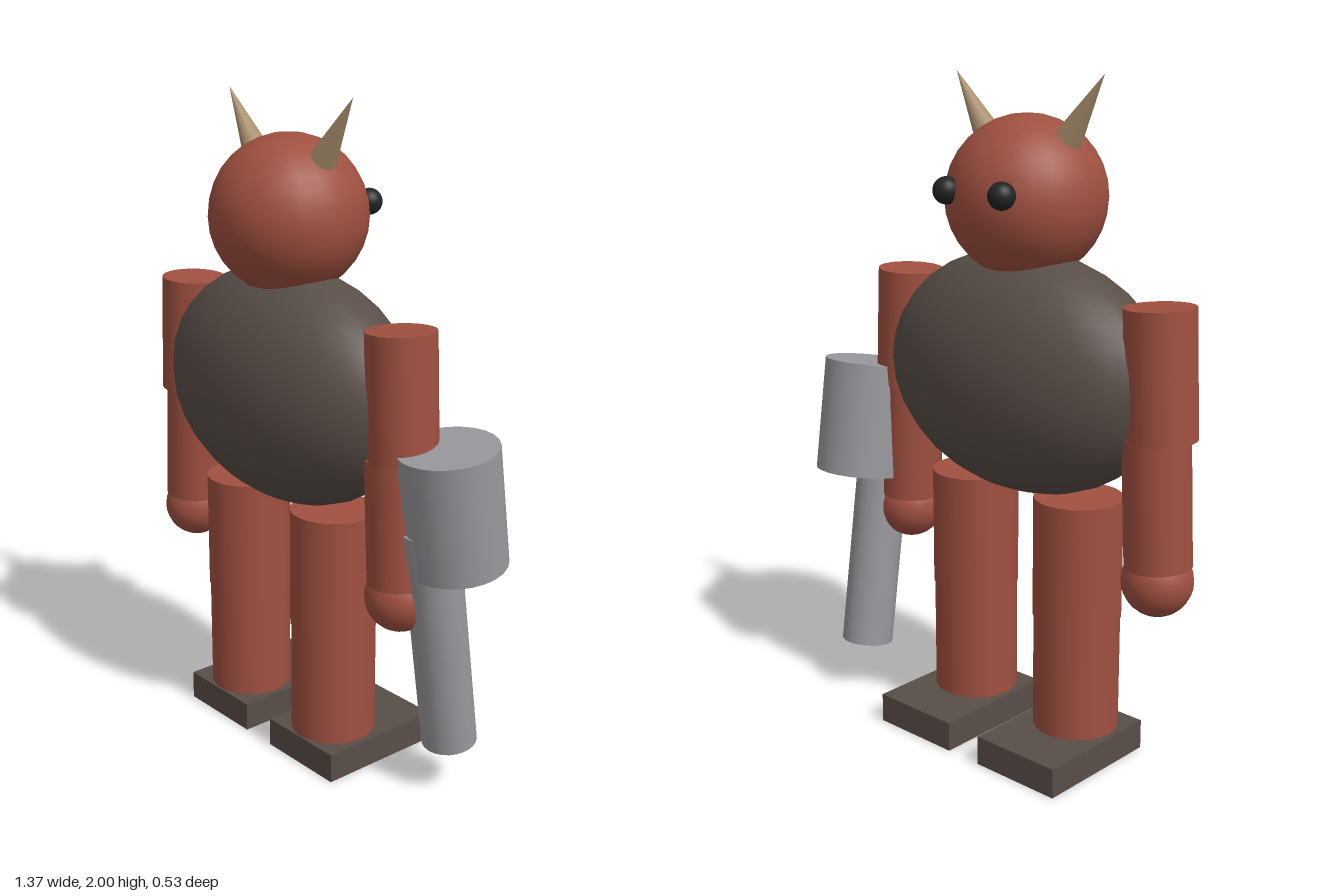
import * as THREE from 'three';

const material = (name, color) => {
  const m = new THREE.MeshStandardMaterial({ color });
  m.name = name;
  return m;
};

export function createModel() {
  const skin = material('red skin', 0xa05040);
  const hide = material('dark brown hide', 0x594e48);
  const bone = material('tan horn', 0xa88e6c);
  const metal = material('grey metal', 0x98989d);
  const black = material('black eye', 0x222525);

  const model = new THREE.Group();
  model.name = 'hornedBrute';

  // Body axis: everything but the club mirrors about it
  const body = new THREE.Group();
  body.name = 'body';
  body.position.set(-0.087, 0, 0.01);
  model.add(body);

  const add = (parent, name, geometry, mat, x, y, z) => {
    const mesh = new THREE.Mesh(geometry, mat);
    mesh.name = name;
    mesh.position.set(x, y, z);
    parent.add(mesh);
    return mesh;
  };
  const ball = (r) => new THREE.SphereGeometry(r, 24, 16);
  const rod = (r, h) => new THREE.CylinderGeometry(r, r, h, 24);

  // Torso and head
  add(body, 'torso', ball(1), hide, 0, 1.145, -0.003).scale.set(0.495, 0.36, 0.256);
  add(body, 'head', ball(0.235), skin, 0, 1.652, 0);

  for (const s of [-1, 1]) {
    // Horn: cone whose tip leans outwards
    const lean = 0.61;
    const horn = new THREE.ConeGeometry(0.047, 0.25, 16).translate(0, -0.125, 0);
    add(body, 'horn', horn, bone, s * 0.275, 1.998, 0).rotation.z = -s * lean;

    // Eye
    add(body, 'eye', ball(0.039), black, s * 0.104, 1.68, -0.219);

    // Arm: two slightly splayed segments and a round hand
    const arm = new THREE.Group();
    arm.name = 'arm';
    body.add(arm);
    add(arm, 'upperArm', rod(0.101, 0.365), skin, s * 0.487, 1.214, 0).rotation.z = s * 0.05;
    add(arm, 'forearm', rod(0.097, 0.37), skin, s * 0.487, 0.85, 0).rotation.z = s * 0.05;
    add(arm, 'hand', ball(0.103), skin, s * 0.495, 0.622, 0);

    // Leg and flat foot
    const leg = new THREE.Group();
    leg.name = 'leg';
    body.add(leg);
    add(leg, 'thigh', rod(0.132, 0.365), skin, s * 0.206, 0.6225, 0);
    add(leg, 'shin', rod(0.129, 0.37), skin, s * 0.206, 0.26, 0);
    add(leg, 'foot', new THREE.BoxGeometry(0.293, 0.09, 0.41), hide, s * 0.206, 0.045, -0.071);
  }

  // Club held beside the hand, tilted, with an off-centre heavy head
  const club = new THREE.Group();
  club.name = 'club';
  model.add(club);
  add(club, 'clubHandle', rod(0.082, 0.7), metal, 0.504, 0.505, -0.059).rotation.x = 0.148;
  add(club, 'clubHead', rod(0.145, 0.358), metal, 0.535, 0.911, -0.063).rotation.x = 0.148;

  return model;
}
